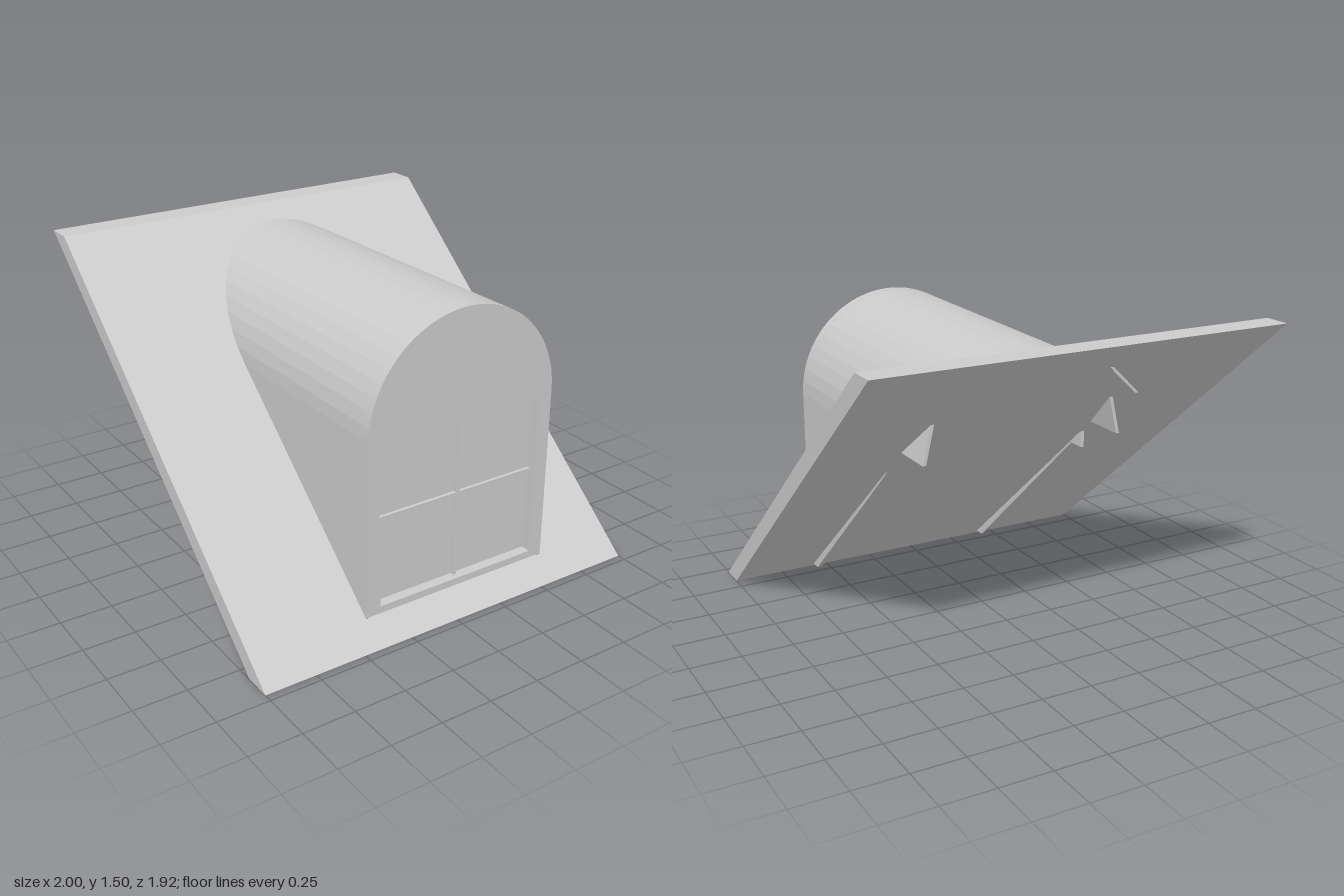
import * as THREE from 'three';

const material = new THREE.MeshStandardMaterial({ color: 0xcccccc, flatShading: true, side: THREE.DoubleSide });
const CX = 0.08, R = 0.5, SPRING = 0.95, FRONT = 0.85, SLOPE = 1.79 / 1.5;

function addMesh(group, name, geometry) {
  const mesh = new THREE.Mesh(geometry, material);
  mesh.name = name;
  group.add(mesh);
  return mesh;
}

// Extrudes a (z, y) side profile along x, from x0 to x1
function sidePrism(points, x0, x1) {
  const shape = new THREE.Shape(points.map(([z, y]) => new THREE.Vector2(z, y)));
  const geometry = new THREE.ExtrudeGeometry(shape, { depth: x1 - x0, bevelEnabled: false });
  return geometry.rotateY(-Math.PI / 2).translate(x1, 0, 0);
}

// Rounded roof: arch rings from the front to the middle of the sloping slab
function vaultGeometry(segments) {
  const positions = [], index = [];
  for (let i = 0; i <= segments; i++) {
    const a = (i / segments) * Math.PI;
    const x = CX + R * Math.cos(a), y = SPRING + R * Math.sin(a);
    const backY = y - 0.02 * Math.sin(a);
    positions.push(x, y, FRONT, x, backY, 0.89 - backY * SLOPE);
    if (i < segments) {
      const k = i * 2;
      index.push(k, k + 1, k + 2, k + 2, k + 1, k + 3);
    }
  }
  const geometry = new THREE.BufferGeometry();
  geometry.setAttribute('position', new THREE.Float32BufferAttribute(positions, 3));
  geometry.setIndex(index);
  geometry.computeVertexNormals();
  return geometry;
}

// Arched front wall with a slightly crooked window opening
function frontWallGeometry() {
  const shape = new THREE.Shape();
  shape.moveTo(CX - R, 0.1);
  shape.lineTo(CX + R, 0.1);
  shape.lineTo(CX + R, SPRING);
  shape.absarc(CX, SPRING, R, 0, Math.PI, false);
  shape.closePath();
  const opening = [[-0.345, 0.135], [-0.37, 0.94], [0.51, 0.93], [0.51, 0.135]];
  shape.holes.push(new THREE.Path(opening.map(([x, y]) => new THREE.Vector2(x, y))));
  return new THREE.ExtrudeGeometry(shape, { depth: 0.05, bevelEnabled: false, curveSegments: 24 })
    .translate(0, 0, FRONT - 0.05);
}

export function createModel() {
  const model = new THREE.Group();
  model.name = 'dormerWindow';

  // Sloping roof slab
  addMesh(model, 'roofSlab', sidePrism([[0.96, 0], [-0.83, 1.5], [-0.96, 1.5], [0.83, 0]], -1, 1));

  // Dormer shell
  addMesh(model, 'frontWall', frontWallGeometry());
  addMesh(model, 'vaultedRoof', vaultGeometry(24));
  const wall = [[FRONT, 0.1], [FRONT, SPRING], [-0.25, SPRING], [-0.15, 0.81], [0.75, 0.02], [0.82, 0.02]];
  addMesh(model, 'leftWall', sidePrism(wall, CX + R - 0.02, CX + R));
  addMesh(model, 'rightWall', sidePrism(wall, CX - R, CX - R + 0.012));

  // Window pane and glazing bars, set back in the opening
  const pane = addMesh(model, 'windowPane', new THREE.BoxGeometry(0.92, 0.84, 0.01));
  pane.position.set(0.07, 0.535, 0.796);
  const upright = addMesh(model, 'verticalBar', new THREE.BoxGeometry(0.02, 0.82, 0.02));
  upright.position.set(0.09, 0.535, 0.808);
  const crossbar = addMesh(model, 'horizontalBar', new THREE.BoxGeometry(0.9, 0.022, 0.02));
  crossbar.position.set(0.07, 0.55, 0.808);

  // Corners of the shell poking through the underside, bent to follow the arch
  const corners = [
    { side: -1, z: -0.81, low: 1.24, high: 1.37 },
    { side: -1, z: -0.54, low: 0.97, high: 1.15 },
    { side: 1, z: -0.54, low: 0.97, high: 1.15 },
    { side: -1, z: -0.25, low: 0.82, high: 0.9 },
  ];
  for (const { side, z, low, high } of corners) {
    const geometry = sidePrism([[z, low], [z, high], [0.85 - low * SLOPE, low]], -0.008, 0.008);
    const p = geometry.attributes.position;
    for (let i = 0; i < p.count; i++) {
      const rise = Math.max(0, p.getY(i) - SPRING);
      p.setX(i, p.getX(i) + CX + side * (Math.sqrt(R * R - rise * rise) - 0.008));
    }
    geometry.computeVertexNormals();
    addMesh(model, 'shellCorner', geometry);
  }
  return model;
}
